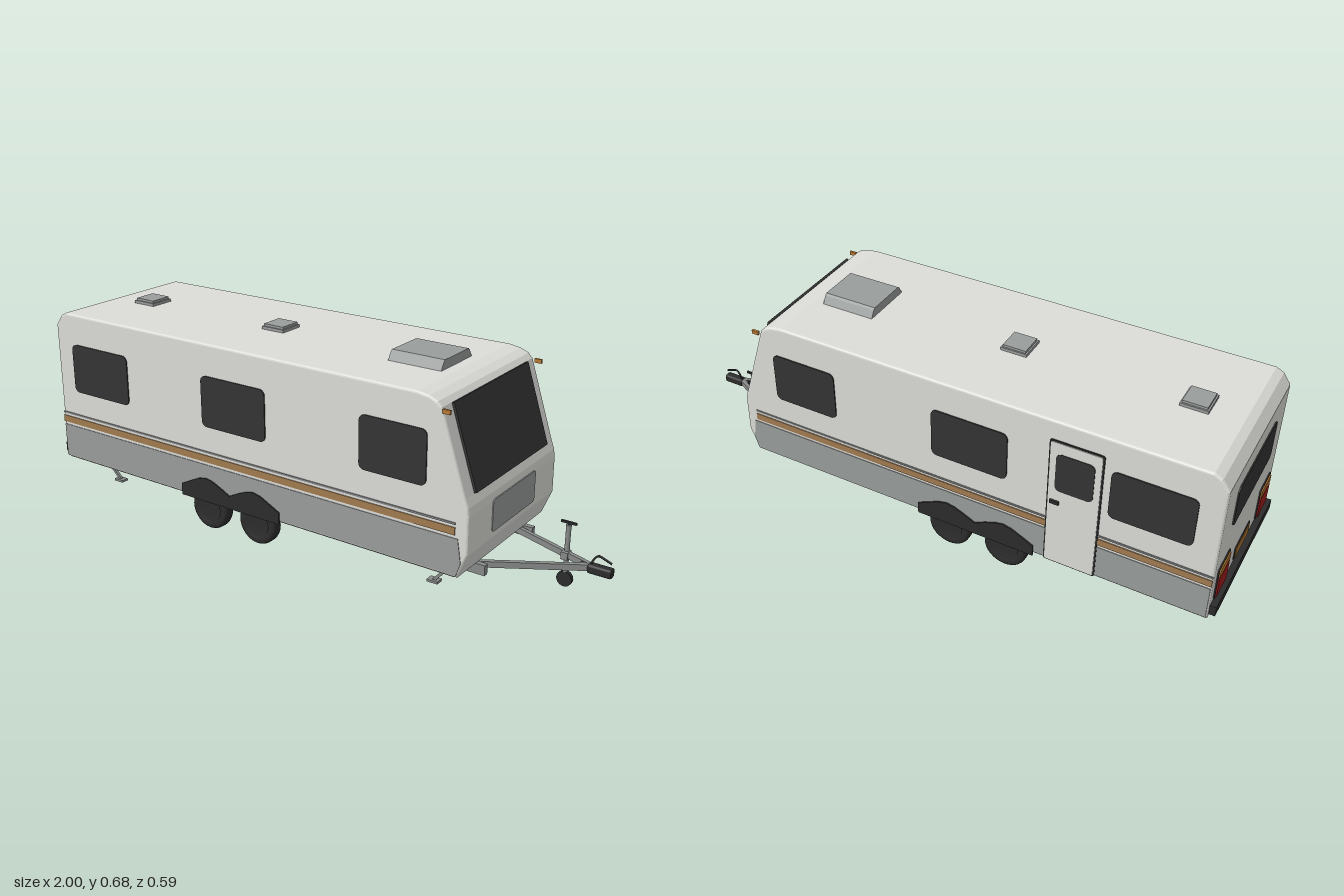
import * as THREE from 'three';

const mat = (name, color, side = THREE.FrontSide) => {
  const m = new THREE.MeshStandardMaterial({ color, side });
  m.name = name;
  return m;
};

export function createModel() {
  const white = mat('shell white', 0xdcdcd8);
  const grey = mat('panel grey', 0x999d9c);
  const glass = mat('tinted glass', 0x343434);
  const black = mat('rubber black', 0x2c2c2c);
  const steel = mat('galvanised steel', 0x888a8a);
  const tan = mat('stripe tan', 0xa27c50);
  const red = mat('lamp red', 0xa01c1c);
  const amber = mat('lamp amber', 0xb87a35);

  const model = new THREE.Group();
  model.name = 'caravan';
  const HALF = 0.283; // half width of the shell

  const add = (name, geo, material, x = 0, y = 0, z = 0, parent = model) => {
    const m = new THREE.Mesh(geo, material);
    m.name = name;
    m.position.set(x, y, z);
    parent.add(m);
    return m;
  };
  const box = (name, material, w, h, d, x, y, z) =>
    add(name, new THREE.BoxGeometry(w, h, d), material, x, y, z);
  const poly = (pts) => new THREE.Shape(pts.map(([x, y]) => new THREE.Vector2(x, y)));
  const extrude = (shape, depth) =>
    new THREE.ExtrudeGeometry(shape, { depth, bevelEnabled: false, curveSegments: 5 });

  // Rectangle from corner to corner with rounded corners
  const roundRect = (x0, y0, x1, y1, r) => {
    const s = new THREE.Shape();
    s.absarc(x1 - r, y1 - r, r, 0, Math.PI / 2);
    s.absarc(x0 + r, y1 - r, r, Math.PI / 2, Math.PI);
    s.absarc(x0 + r, y0 + r, r, Math.PI, Math.PI * 1.5);
    s.absarc(x1 - r, y0 + r, r, Math.PI * 1.5, Math.PI * 2);
    return s;
  };
  // Thin plate lying on the left (s = 1) or right (s = -1) wall
  const sidePlate = (name, shape, material, s, t = 0.004) =>
    add(name, extrude(shape, t), material, 0, 0, s > 0 ? HALF : -HALF - t);
  // Bar between two points
  const bar = (name, material, a, b, w, h = w) => {
    const p = new THREE.Vector3(...a), q = new THREE.Vector3(...b);
    const m = add(name, new THREE.BoxGeometry(w, h, p.distanceTo(q)), material);
    m.position.copy(p).add(q).multiplyScalar(0.5);
    m.lookAt(q);
    return m;
  };

  // Shell: side profile extruded across the width with softened edges
  const B = 0.008;
  const shell = new THREE.ExtrudeGeometry(poly([
    [-0.98, 0.11], [0.64, 0.11], [0.672, 0.19], [0.671, 0.31], [0.667, 0.335], [0.657, 0.362],
    [0.572, 0.62], [0.558, 0.635], [0.53, 0.647], [0.49, 0.653],
    [-0.93, 0.653], [-0.955, 0.64], [-0.98, 0.605],
  ]), { depth: 2 * (HALF - B), bevelThickness: B, bevelSize: B, bevelOffset: -B, bevelSegments: 3 });
  add('shell', shell, white, 0, 0, -HALF + B);
  box('floor', grey, 1.6, 0.004, 0.55, -0.17, 0.109, 0);

  // Side walls: skirt, stripes, windows, wheel arches, marker lamps
  const halfArch = [[-0.415, 0.105], [-0.415, 0.145], [-0.375, 0.165], [-0.34, 0.182],
    [-0.31, 0.189], [-0.28, 0.183], [-0.245, 0.168], [-0.209, 0.15]];
  const mirrored = halfArch.slice(0, -1).reverse().map(([x, y]) => [-0.418 - x, y]);
  for (const s of [1, -1]) {
    sidePlate('skirtPanel', poly([[-0.976, 0.118], [0.638, 0.118], [0.652, 0.16], [0.64, 0.236], [-0.976, 0.236]]), grey, s, 0.002);
    sidePlate('wideStripe', poly([[-0.978, 0.246], [0.63, 0.246], [0.63, 0.27], [-0.978, 0.27]]), tan, s, 0.003);
    sidePlate('thinStripe', poly([[-0.978, 0.279], [0.63, 0.279], [0.63, 0.285], [-0.978, 0.285]]), steel, s, 0.003);
    for (const [x0, x1] of [[-0.905, -0.645], [-0.315, -0.055], [0.298, 0.53]])
      sidePlate('sideWindow', roundRect(x0, 0.372, x1, 0.546, 0.02), glass, s);
    sidePlate('wheelArch', poly([...halfArch, ...mirrored]), black, s, 0.007);
    box('markerLamp', amber, 0.024, 0.013, 0.008, 0.59, 0.612, s * (HALF + 0.001));
  }

  // Entrance door on the right wall
  sidePlate('doorFrame', roundRect(-0.622, 0.112, -0.45, 0.588, 0.008), black, -1, 0.0035);
  sidePlate('door', roundRect(-0.617, 0.117, -0.455, 0.583, 0.006), white, -1, 0.006);
  sidePlate('doorWindow', roundRect(-0.597, 0.405, -0.475, 0.545, 0.018), glass, -1, 0.008);
  box('doorHandle', black, 0.03, 0.012, 0.012, -0.478, 0.36, -HALF - 0.007);

  // Sloped front window and storage hatch
  const frontWindow = add('frontWindow', extrude(roundRect(-0.23, -0.135, 0.23, 0.135, 0.002), 0.008), glass, 0.6155, 0.492, 0);
  frontWindow.rotation.set(-0.316, Math.PI / 2, 0, 'YXZ');
  const hatch = add('frontHatch', extrude(roundRect(-0.138, 0.208, 0.138, 0.313, 0.012), 0.004), grey, 0.67, 0, 0);
  hatch.rotation.y = Math.PI / 2;

  // Rear wall: window, lamps, number plate, bumper
  const rear = new THREE.Group();
  rear.name = 'rearWall';
  rear.position.x = -0.98;
  rear.rotation.y = -Math.PI / 2;
  model.add(rear);
  const rearPlate = (name, shape, material, t = 0.004) => add(name, extrude(shape, t), material, 0, 0, 0, rear);
  rearPlate('rearWindow', roundRect(-0.18, 0.395, 0.18, 0.54, 0.02), glass);
  rearPlate('numberPlateFrame', roundRect(-0.07, 0.168, 0.07, 0.218, 0.004), black, 0.003);
  rearPlate('numberPlate', roundRect(-0.063, 0.174, 0.063, 0.212, 0.003), amber, 0.005);
  for (const s of [1, -1]) {
    const c = s * 0.195;
    rearPlate('lampHousing', roundRect(c - 0.052, 0.163, c + 0.052, 0.282, 0.004), black, 0.004);
    rearPlate('tailLamp', roundRect(c - 0.046, 0.168, c + 0.046, 0.246, 0.003), red, 0.008);
    rearPlate('turnLamp', roundRect(c - 0.046, 0.249, c + 0.046, 0.277, 0.003), amber, 0.008);
  }
  box('rearBumper', black, 0.025, 0.036, 0.535, -0.9875, 0.137, 0);

  // Roof: air conditioner and two vents
  const cooler = add('roofCooler', extrude(poly([
    [-0.094, 0.65], [0.094, 0.65], [0.078, 0.677], [0.071, 0.683], [-0.071, 0.683], [-0.078, 0.677],
  ]), 0.185), grey, 0.272, 0, 0);
  cooler.rotation.y = Math.PI / 2;
  for (const x of [-0.785, -0.208]) {
    box('roofVent', grey, 0.088, 0.012, 0.09, x, 0.657, 0);
    box('roofVentLid', grey, 0.078, 0.01, 0.08, x, 0.666, 0);
  }

  // Wheels in tandem, and axles
  const tyre = new THREE.LatheGeometry([
    [0, -0.016], [0.045, -0.016], [0.048, -0.0215], [0.064, -0.0215], [0.071, -0.017], [0.0735, -0.01],
    [0.0735, 0.01], [0.071, 0.017], [0.064, 0.0215], [0.048, 0.0215], [0.045, 0.016], [0, 0.016],
  ].map(([r, y]) => new THREE.Vector2(r, y)), 32);
  for (const x of [-0.31, -0.108]) {
    for (const s of [1, -1])
      add('wheel', tyre, black, x, 0.0735, s * 0.2535).rotation.x = Math.PI / 2;
  }

  // Chassis rails, drawbar and corner steadies
  for (const s of [1, -1]) {
    const z = s * 0.157;
    box('chassisRail', steel, 1.55, 0.034, 0.018, -0.105, 0.092, z);
    bar('drawbar', steel, [0.585, 0.092, s * 0.16], [0.935, 0.115, 0], 0.014, 0.02);
    for (const [top, foot] of [[-0.92, -0.845], [0.562, 0.495]]) {
      box('steadyBracket', steel, 0.03, 0.035, 0.015, top, 0.09, z);
      bar('steadyLeg', steel, [top, 0.082, z], [foot, 0.006, z], 0.01);
      box('steadyFoot', steel, 0.038, 0.008, 0.028, foot, 0.004, z);
    }
  }

  // Coupling head with lever
  add('couplingNeck', new THREE.CylinderGeometry(0.011, 0.011, 0.06, 12), black, 0.93, 0.113, 0).rotation.z = Math.PI / 2;
  const head = add('couplingHead', new THREE.ExtrudeGeometry(roundRect(-0.01, -0.01, 0.01, 0.01, 0.004),
    { depth: 0.066, bevelThickness: 0.005, bevelSize: 0.005, bevelSegments: 2, curveSegments: 3 }), black, 0.929, 0.112, 0);
  head.rotation.y = Math.PI / 2;
  const lever = new THREE.CatmullRomCurve3([[0.93, 0.12], [0.938, 0.14], [0.952, 0.156], [0.972, 0.151], [0.995, 0.142]]
    .map(([x, y]) => new THREE.Vector3(x, y, 0)));
  add('couplingLever', new THREE.TubeGeometry(lever, 12, 0.0035, 6), black);

  // Jockey wheel beside the drawbar
  const jx = 0.833, jz = -0.048;
  add('jockeyTube', new THREE.CylinderGeometry(0.008, 0.008, 0.155, 14), steel, jx, 0.127, jz);
  add('jockeyFork', new THREE.CylinderGeometry(0.006, 0.006, 0.03, 10), black, jx, 0.04, jz);
  add('jockeyCap', new THREE.CylinderGeometry(0.009, 0.009, 0.006, 14), steel, jx, 0.203, jz);
  add('jockeyStem', new THREE.CylinderGeometry(0.004, 0.004, 0.012, 8), black, jx, 0.209, jz);
  box('jockeyHandle', black, 0.05, 0.007, 0.007, jx, 0.213, jz);
  add('jockeyTyre', new THREE.CylinderGeometry(0.025, 0.025, 0.014, 20), black, jx, 0.026, jz).rotation.x = Math.PI / 2;
  box('jockeyClamp', steel, 0.022, 0.024, 0.03, jx, 0.108, jz + 0.005);

  return model;
}
